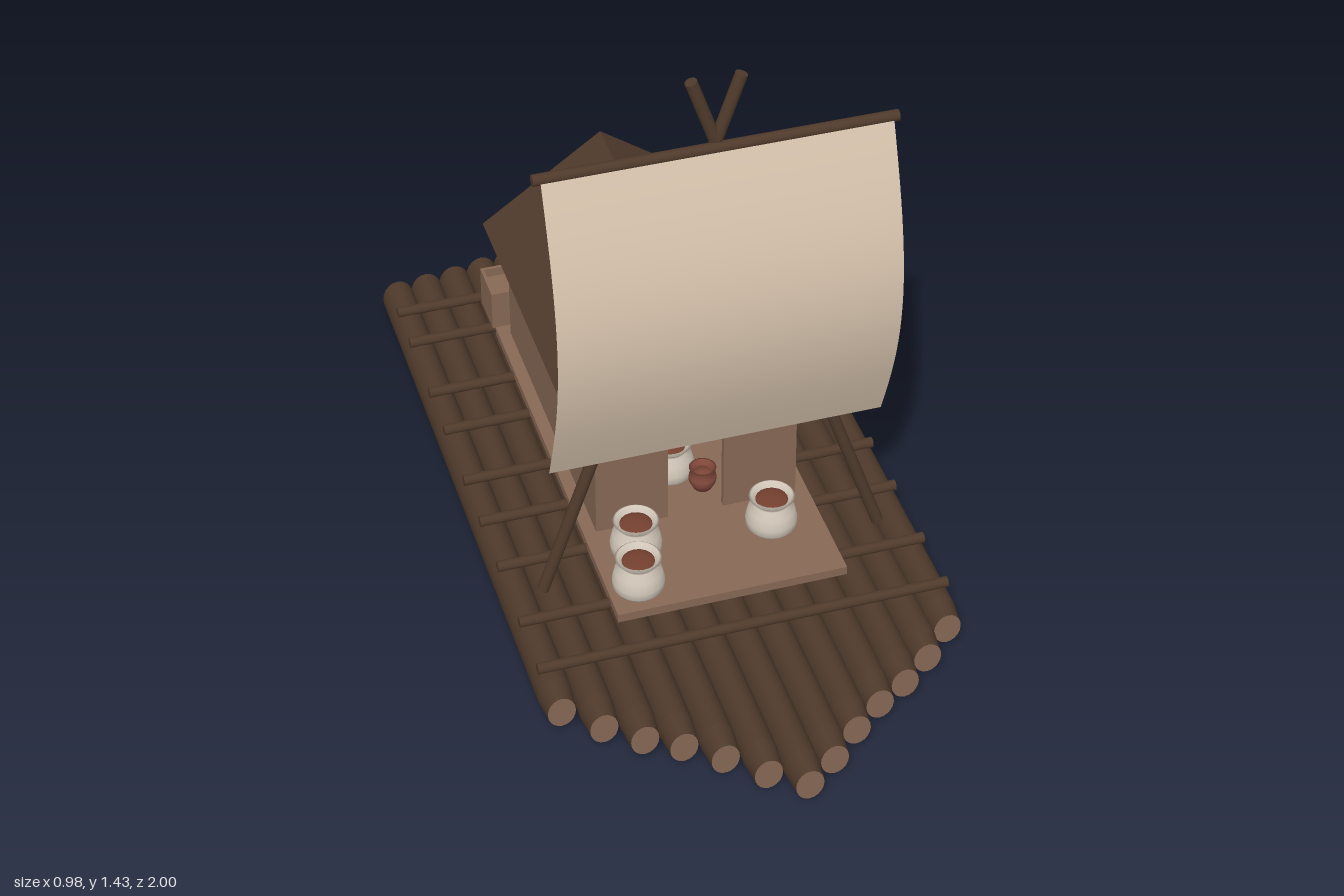
import * as THREE from 'three';

const material = (name, color, side = THREE.FrontSide) => {
  const m = new THREE.MeshStandardMaterial({ color, side });
  m.name = name;
  return m;
};

export function createModel() {
  const wood = material('dark wood', 0x4f3a2b);
  const plank = material('plank', 0x876854);
  const canvas = material('canvas', 0xd8c4ae, THREE.DoubleSide);
  const sacking = material('sacking', 0xcfc4b6, THREE.DoubleSide);
  const clay = material('clay', 0x80483a, THREE.DoubleSide);
  const beans = material('dried goods', 0x74402f);

  const model = new THREE.Group();
  model.name = 'sailingRaft';

  const add = (name, geometry, mat, x = 0, y = 0, z = 0, parent = model) => {
    const mesh = new THREE.Mesh(geometry, mat);
    mesh.name = name;
    mesh.position.set(x, y, z);
    parent.add(mesh);
    return mesh;
  };
  const box = (name, mat, w, h, d, x, y, z, parent) =>
    add(name, new THREE.BoxGeometry(w, h, d), mat, x, y, z, parent);
  const pole = (name, a, b, r, mat = wood) => {
    const from = new THREE.Vector3(...a), to = new THREE.Vector3(...b);
    const dir = to.clone().sub(from);
    const mesh = add(name, new THREE.CylinderGeometry(r, r, dir.length(), 12), mat);
    mesh.position.copy(from).lerp(to, 0.5);
    mesh.quaternion.setFromUnitVectors(new THREE.Vector3(0, 1, 0), dir.normalize());
    return mesh;
  };
  const lathe = (points, segments = 24) =>
    new THREE.LatheGeometry(points.map(([r, y]) => new THREE.Vector2(r, y)), segments);

  // Hull of thirteen oval logs, longest in the middle, with tapered bows
  const bow = [1, 0.945, 0.875, 0.815, 0.77, 0.71, 0.635];
  const stern = [-1, -0.965, -0.95, -0.935, -0.92, -0.91, -0.9];
  const taper = 0.06, rx = 0.039, ry = 0.05, tip = 0.82;
  for (let i = -6; i <= 6; i++) {
    const front = bow[Math.abs(i)], back = stern[Math.abs(i)];
    const log = new THREE.Group();
    log.name = 'hullLog';
    log.position.set(i * 0.075, 0.055, 0);
    log.scale.set(rx, ry, 1);
    model.add(log);
    const bodyLength = front - taper - back;
    const body = new THREE.CylinderGeometry(1, 1, bodyLength, 20, 1, true).rotateX(Math.PI / 2);
    add('logBody', body, wood, 0, 0, back + bodyLength / 2, log);
    const nose = new THREE.CylinderGeometry(tip, 1, taper, 20, 1, true).rotateX(Math.PI / 2);
    add('logTaper', nose, wood, 0, 0, front - taper / 2, log);
    add('logFrontEnd', new THREE.CircleGeometry(tip, 20), plank, 0, 0, front, log);
    add('logBackEnd', new THREE.CircleGeometry(1, 20).rotateY(Math.PI), plank, 0, 0, back, log);
  }

  // Cross beams
  for (const z of [-0.77, -0.645, -0.445, -0.3, -0.11, 0.04, 0.2, 0.39, 0.545])
    pole('crossBeam', [-0.48, 0.112, z], [0.48, 0.112, z], 0.013);

  // Deck
  box('deck', plank, 0.54, 0.022, 1.07, 0, 0.127, -0.075);

  // Hut with a doorway in the front gable
  const hut = new THREE.Group();
  hut.name = 'hut';
  model.add(hut);
  const extrude = (pts, depth) => new THREE.ExtrudeGeometry(
    new THREE.Shape(pts.map(([x, y]) => new THREE.Vector2(x, y))), { depth, bevelEnabled: false });
  const gable = [[0.24, 0.138], [0.24, 0.492], [0, 0.66], [-0.24, 0.492], [-0.24, 0.138]];
  const door = [[-0.068, 0.138], [-0.068, 0.44], [0.065, 0.44], [0.065, 0.138]];
  add('frontWall', extrude([...gable, ...door], 0.015), plank, 0, 0, 0.165, hut);
  add('backWall', extrude(gable, 0.015), plank, 0, 0, -0.58, hut);
  for (const s of [-1, 1])
    box('sideWall', plank, 0.015, 0.352, 0.73, s * 0.2325, 0.314, -0.2, hut);
  const roof = [[0.295, 0.474], [0, 0.684], [-0.295, 0.474], [-0.285, 0.462], [0, 0.662], [0.285, 0.462]];
  add('roof', extrude(roof, 0.855), wood, 0, 0, -0.595, hut);

  // Crossed mast poles and yard
  for (const s of [-1, 1])
    pole('mastPole', [s * 0.4, 0.11, 0.3], [-s * 0.055, 1.43, 0.3], 0.014);
  pole('yard', [-0.4, 1.262, 0.312], [0.4, 1.262, 0.312], 0.013);

  // Billowing sail
  const sail = new THREE.PlaneGeometry(0.77, 0.785, 8, 24);
  const p = sail.attributes.position;
  for (let i = 0; i < p.count; i++) {
    const t = p.getY(i) / 0.785 + 0.5;
    p.setZ(i, 0.1 * Math.sin(Math.PI * t));
  }
  sail.computeVertexNormals();
  add('sail', sail, canvas, 0, 0.868, 0.328);

  // Open sacks of dried goods
  const sackProfile = [[0, 0], [0.05, 0], [0.059, 0.012], [0.06, 0.03], [0.054, 0.055],
    [0.041, 0.073], [0.042, 0.08], [0.053, 0.09], [0.047, 0.094], [0.037, 0.08]];
  for (const [x, z] of [[-0.2, 0.385], [-0.17, 0.265], [0.15, 0.275], [-0.02, 0.03]]) {
    const sack = new THREE.Group();
    sack.name = 'sack';
    sack.position.set(x, 0.138, z);
    model.add(sack);
    add('sackCloth', lathe(sackProfile), sacking, 0, 0, 0, sack);
    add('sackContents', new THREE.SphereGeometry(0.039, 16, 6, 0, Math.PI * 2, 0, Math.PI / 2)
      .scale(1, 0.25, 1), beans, 0, 0.078, 0, sack);
  }

  // Clay pot in the doorway
  add('pot', lathe([[0, 0], [0.022, 0], [0.032, 0.02], [0.032, 0.035], [0.024, 0.046],
    [0.032, 0.058], [0.027, 0.058], [0.02, 0.045]]), clay, 0.04, 0.138, 0.1);

  // Shallow bowls on the stern
  const bowl = [[0, 0], [0.042, 0], [0.068, 0.026], [0.062, 0.027], [0.04, 0.007], [0, 0.007]];
  for (const [x, z] of [[0.06, -0.8], [-0.025, -0.7]])
    add('bowl', lathe(bowl), clay, x, 0.113, z);

  // Open crates with two compartments
  for (const x of [-0.19, 0.235]) {
    const crate = new THREE.Group();
    crate.name = 'crate';
    crate.position.set(x, 0.12, -0.685);
    model.add(crate);
    for (const s of [-1, 1]) {
      box('crateLongSide', plank, 0.165, 0.105, 0.008, 0, 0.0525, s * 0.051, crate);
      box('crateShortSide', plank, 0.008, 0.105, 0.094, s * 0.0785, 0.0525, 0, crate);
    }
    box('crateFloor', plank, 0.149, 0.08, 0.094, 0, 0.041, 0, crate);
    for (let i = 0; i < 6; i++)
      add('crateGoods', new THREE.SphereGeometry(0.016, 10, 6), beans,
        0.014 + (i % 2) * 0.032, 0.084, (Math.floor(i / 2) - 1) * 0.029, crate);
  }

  return model;
}
